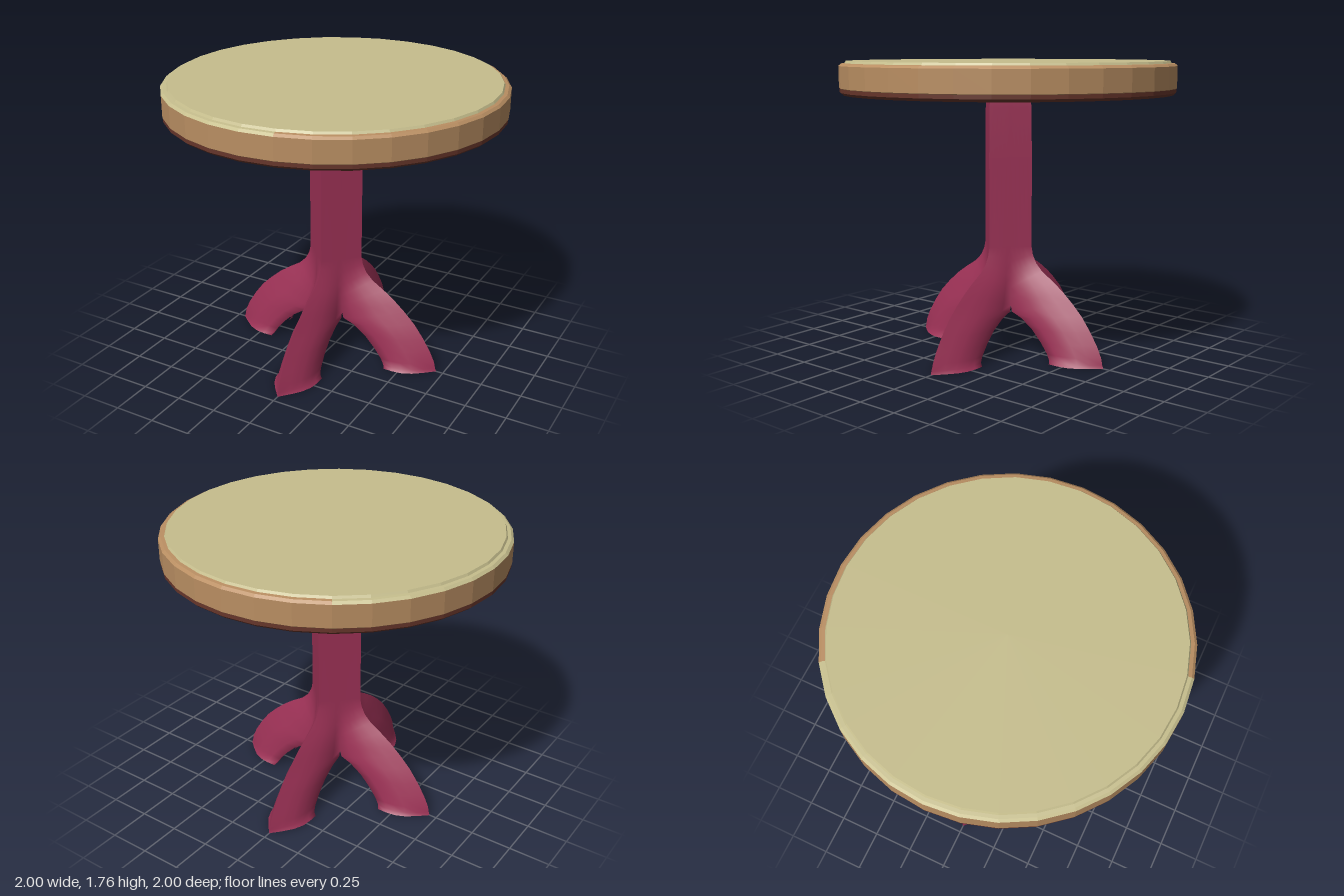
import * as THREE from 'three';
import { mergeVertices } from 'three/addons/utils/BufferGeometryUtils.js';

const SIDES = 32;
const STEP = (Math.PI * 2) / SIDES;

function material(name, color, options = {}) {
  const m = new THREE.MeshStandardMaterial({ color, ...options });
  m.name = name;
  return m;
}

// Stations down the pedestal: ridge x, ridge y, rim x, rim y, half width, roundness
const STATIONS = [
  [0.165, 1.575, 0.083, 1.575, 0.083, 0],
  [0.175, 1.5, 0.088, 1.5, 0.088, 0],
  [0.18, 1.2, 0.09, 1.2, 0.09, 0],
  [0.18, 0.66, 0.09, 0.66, 0.09, 0],
  [0.19, 0.61, 0.09, 0.57, 0.09, 0.05],
  [0.215, 0.56, 0.092, 0.48, 0.092, 0.15],
  [0.26, 0.515, 0.095, 0.41, 0.095, 0.35],
  [0.34, 0.465, 0.098, 0.35, 0.098, 0.55],
  [0.41, 0.415, 0.1, 0.3, 0.1, 0.75],
  [0.48, 0.355, 0.11, 0.262, 0.1, 0.9],
  [0.55, 0.285, 0.18, 0.235, 0.1, 1],
  [0.61, 0.205, 0.26, 0.18, 0.1, 1],
  [0.66, 0.125, 0.33, 0.11, 0.103, 1],
  [0.69, 0.06, 0.38, 0.05, 0.108, 1],
  [0.698, 0.02, 0.4, 0.018, 0.115, 1],
  [0.705, 0, 0.41, 0, 0.132, 1],
];
const ROUND = [0, 0.4, 0.74, 0.94, 1, 1];

// A quarter of the pedestal: half of two neighbouring legs, joined along the diagonal
function quarterGeometry() {
  const position = [];
  const index = [];
  const cols = ROUND.length + 1;
  for (const swap of [false, true]) {
    const base = position.length / 3;
    STATIONS.forEach(([rx, ry, mx, my, w, s], i) => {
      for (let j = 0; j < cols; j++) {
        const t = Math.min(1, j / (ROUND.length - 1));
        let x = THREE.MathUtils.lerp(rx, mx, t);
        const y = THREE.MathUtils.lerp(ry, my, t);
        let z = w * THREE.MathUtils.lerp(t, ROUND[Math.min(j, ROUND.length - 1)], s);
        // narrow lip turned in under the open leg
        if (j === cols - 1 && i > 9) z *= 0.72;
        if (swap) [x, z] = [z, x];
        position.push(x, y, z);
      }
    });
    for (let i = 0; i < STATIONS.length - 1; i++) {
      for (let j = 0; j < cols - 1; j++) {
        const a = base + i * cols + j;
        const b = a + 1, c = a + cols, d = c + 1;
        if (swap) index.push(a, c, b, b, c, d);
        else index.push(a, b, c, b, d, c);
      }
    }
  }
  let g = new THREE.BufferGeometry();
  g.setAttribute('position', new THREE.Float32BufferAttribute(position, 3));
  g.setIndex(index);
  g = mergeVertices(g, 1e-5);
  g.computeVertexNormals();
  return g;
}

export function createModel() {
  const model = new THREE.Group();
  model.name = 'roundTable';

  const cream = material('cream', 0xc6be8d, { flatShading: true });
  const tan = material('tanWood', 0xb98e62, { flatShading: true });
  const brown = material('darkBrown', 0x66352a, { flatShading: true });
  const crimson = material('crimson', 0x9b3155, { side: THREE.DoubleSide });

  const add = (parent, name, geometry, mat) => {
    const mesh = new THREE.Mesh(geometry, mat);
    mesh.name = name;
    parent.add(mesh);
    return mesh;
  };
  const ring = (points, start = 0, count = SIDES) =>
    new THREE.LatheGeometry(points.map(([r, y]) => new THREE.Vector2(r, y)), count, start * STEP, count * STEP);

  // Table top: underside, edge band, bevel and surface
  const top = new THREE.Group();
  top.name = 'tableTop';
  model.add(top);
  add(top, 'underside', ring([[0, 1.57], [0.98, 1.57], [0.997, 1.585], [0.997, 1.607]]), brown);
  add(top, 'edgeBand', ring([[0.997, 1.607], [1, 1.61], [1, 1.737]]), tan);
  const bevel = [[1, 1.737], [0.985, 1.75], [0.965, 1.752]];
  add(top, 'creamBevel', ring(bevel, -13, 14), cream);
  add(top, 'tanBevel', ring(bevel, 1, 18), tan);
  add(top, 'surface', ring([[0.965, 1.752], [0.957, 1.765], [0, 1.765]]), cream);

  // Pedestal: square column flowing into four hollow arched legs
  const pedestal = new THREE.Group();
  pedestal.name = 'pedestal';
  model.add(pedestal);
  const quarter = quarterGeometry();
  for (let i = 0; i < 4; i++) {
    add(pedestal, 'pedestalQuarter', quarter, crimson).rotation.y = (i * Math.PI) / 2;
  }
  return model;
}
